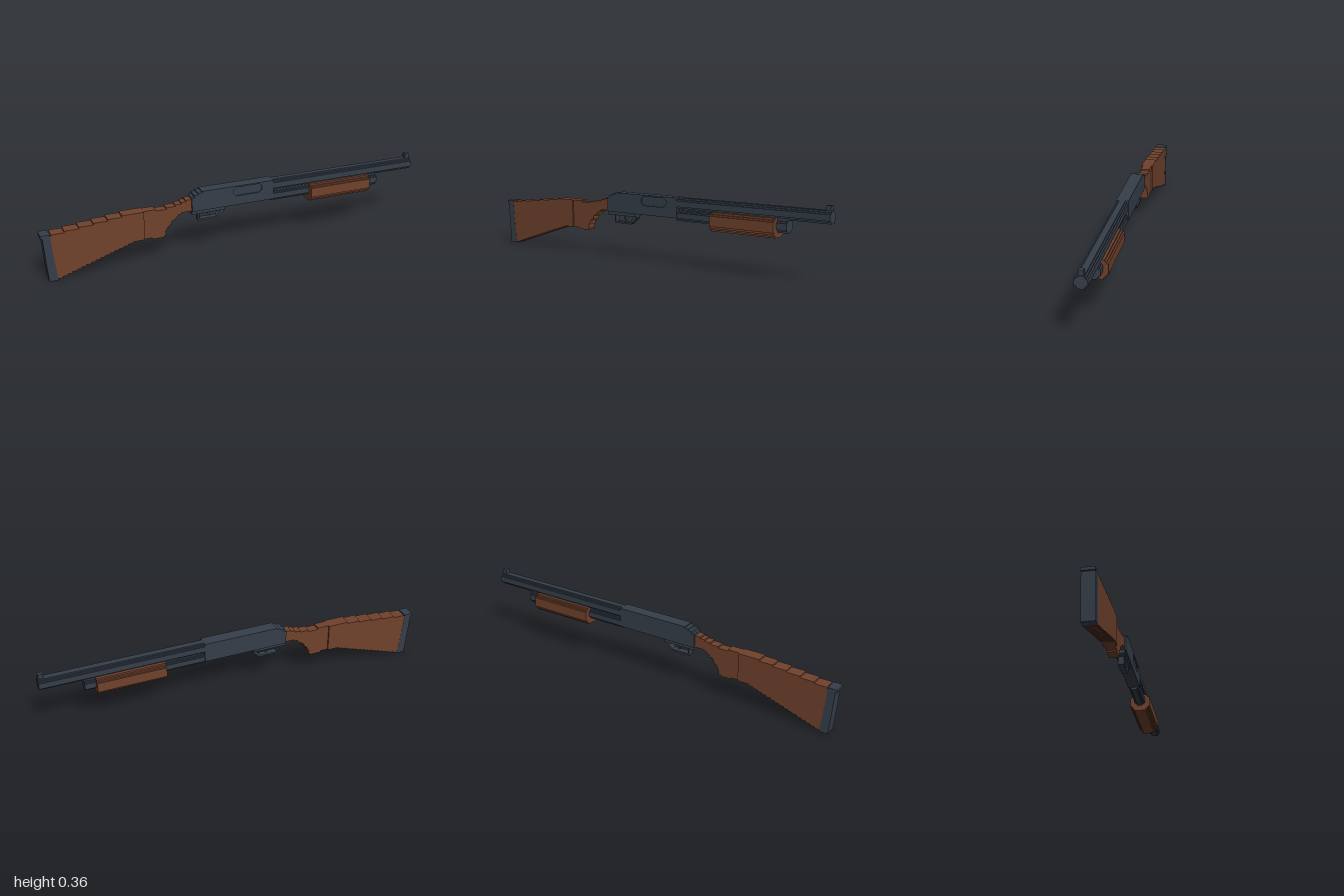
import * as THREE from 'three';

const V = 0.0077; // size of one step in the blocky surfaces

const steel = new THREE.MeshStandardMaterial({ color: 0x353e4a });
steel.name = 'blued steel';
const wood = new THREE.MeshStandardMaterial({ color: 0x6f412c });
wood.name = 'brown wood';

// Height on a polyline at a given x, snapped to the step size
function snapped(line, x) {
  let i = 1;
  while (i < line.length - 1 && x > line[i][0]) i++;
  const [x0, y0] = line[i - 1], [x1, y1] = line[i];
  const y = y0 + ((y1 - y0) * (x - x0)) / (x1 - x0);
  return Math.round(y / V) * V;
}

// Staircase along a polyline between two x positions
function stairs(line, x0, x1) {
  const n = Math.round((x1 - x0) / V), w = (x1 - x0) / n;
  const points = [];
  let last = null;
  for (let i = 0; i < n; i++) {
    const x = x0 + i * w, y = snapped(line, x + w / 2);
    if (last === null || Math.abs(y - last) > 1e-6) {
      if (last !== null) points.push(new THREE.Vector2(x, last));
      points.push(new THREE.Vector2(x, y));
    }
    last = y;
  }
  points.push(new THREE.Vector2(x1, last));
  return points;
}

const steppedSide = (top, bottom, x0, x1) =>
  new THREE.Shape([...stairs(bottom, x0, x1), ...stairs(top, x0, x1).reverse()]);

const outline = (pts) => new THREE.Shape(pts.map(([x, y]) => new THREE.Vector2(x, y)));

// Side profile extruded across the width
function slab(shape, z0, z1) {
  const g = new THREE.ExtrudeGeometry(shape, { depth: z1 - z0, bevelEnabled: false, curveSegments: 6 });
  return g.translate(0, 0, z0);
}

// Stepped cross-section, rows of [bottom, top, halfWidth] from low to high, run along x
function bar(rows, x0, x1) {
  const right = rows.flatMap(([b, t, h]) => [[h, b], [h, t]]);
  const left = right.map(([h, y]) => [-h, y]).reverse();
  const g = new THREE.ExtrudeGeometry(outline([...right, ...left]), { depth: x1 - x0, bevelEnabled: false });
  return g.rotateY(Math.PI / 2).translate(x0, 0, 0);
}

// Blocky circle eight steps across
function roundBar(cy, r, x0, x1) {
  const u = r / 4;
  return bar([
    [cy - 4 * u, cy - 3 * u, 2 * u],
    [cy - 3 * u, cy - 2 * u, 3 * u],
    [cy - 2 * u, cy + 2 * u, 4 * u],
    [cy + 2 * u, cy + 3 * u, 3 * u],
    [cy + 3 * u, cy + 4 * u, 2 * u],
  ], x0, x1);
}

function box(x0, x1, y0, y1, half) {
  return new THREE.BoxGeometry(x1 - x0, y1 - y0, half * 2)
    .translate((x0 + x1) / 2, (y0 + y1) / 2, 0);
}

export function createModel() {
  const model = new THREE.Group();
  model.name = 'pumpActionGun';
  const add = (name, geometry, material) => {
    const mesh = new THREE.Mesh(geometry, material);
    mesh.name = name;
    model.add(mesh);
  };

  // Shoulder stock and narrower grip
  const stockTop = [[-0.96, 0.234], [-0.55, 0.28], [-0.46, 0.28], [-0.43, 0.272],
    [-0.36, 0.274], [-0.25, 0.306]];
  const stockBottom = [[-0.94, 0.002], [-0.54, 0.134], [-0.48, 0.134], [-0.45, 0.124],
    [-0.4, 0.124], [-0.385, 0.16], [-0.355, 0.2], [-0.31, 0.235], [-0.25, 0.24]];
  add('stock', slab(steppedSide(stockTop, stockBottom, -0.957, -0.5), -0.031, 0.031), wood);
  add('grip', slab(steppedSide(stockTop, stockBottom, -0.5, -0.245), -0.023, 0.023), wood);

  // Butt pad with a small lip at the heel
  add('buttPad', slab(outline([[-0.976, 0], [-0.933, 0], [-0.941, 0.08], [-0.949, 0.16],
    [-0.955, 0.24], [-1, 0.24], [-1, 0.225], [-0.991, 0.225], [-0.984, 0.11]]), -0.0315, 0.0315), steel);

  // Receiver: core, and a front cover with the ejection port cut out
  const side = [[-0.254, 0.236], [0.185, 0.236], [0.185, 0.337], [-0.2, 0.337], [-0.2, 0.33],
    [-0.22, 0.33], [-0.22, 0.322], [-0.24, 0.322], [-0.24, 0.31], [-0.254, 0.31]];
  add('receiver', slab(outline(side), -0.031, 0.0235), steel);
  const cover = outline(side);
  cover.holes.push(outline([[-0.035, 0.3], [-0.035, 0.318], [-0.02, 0.33], [0.105, 0.33],
    [0.12, 0.318], [0.12, 0.298], [0.105, 0.284], [-0.02, 0.284]]));
  add('receiverCover', slab(cover, 0.0235, 0.031), steel);

  // Trigger plate, guard and trigger
  add('triggerPlate', box(-0.254, -0.08, 0.219, 0.24, 0.0235), steel);
  const guard = outline([[-0.219, 0.222], [-0.219, 0.177], [-0.115, 0.177], [-0.077, 0.213],
    [-0.077, 0.222]]);
  guard.holes.push(outline([[-0.211, 0.219], [-0.095, 0.219], [-0.119, 0.186], [-0.211, 0.186]]));
  add('triggerGuard', slab(guard, -0.0155, 0.0155), steel);
  add('trigger', slab(outline([[-0.168, 0.222], [-0.165, 0.205], [-0.158, 0.192],
    [-0.15, 0.192], [-0.156, 0.206], [-0.156, 0.222]]), -0.006, 0.006), steel);

  // Barrel with front sight
  add('barrel', roundBar(0.3075, 0.0295, 0.18, 1), steel);
  add('frontSight', box(0.972, 0.995, 0.33, 0.36, 0.0115), steel);

  // Magazine tube and end cap
  add('magazineTube', roundBar(0.249, 0.027, 0.18, 0.75), steel);
  add('magazineCap', roundBar(0.248, 0.031, 0.738, 0.79), steel);

  // Sliding fore-end
  add('foreEnd', bar([
    [0.192, 0.2, 0.031],
    [0.2, 0.208, 0.039],
    [0.208, 0.218, 0.046],
    [0.218, 0.268, 0.0535],
    [0.268, 0.276, 0.046],
    [0.276, 0.285, 0.037],
  ], 0.39, 0.735), wood);

  return model;
}
